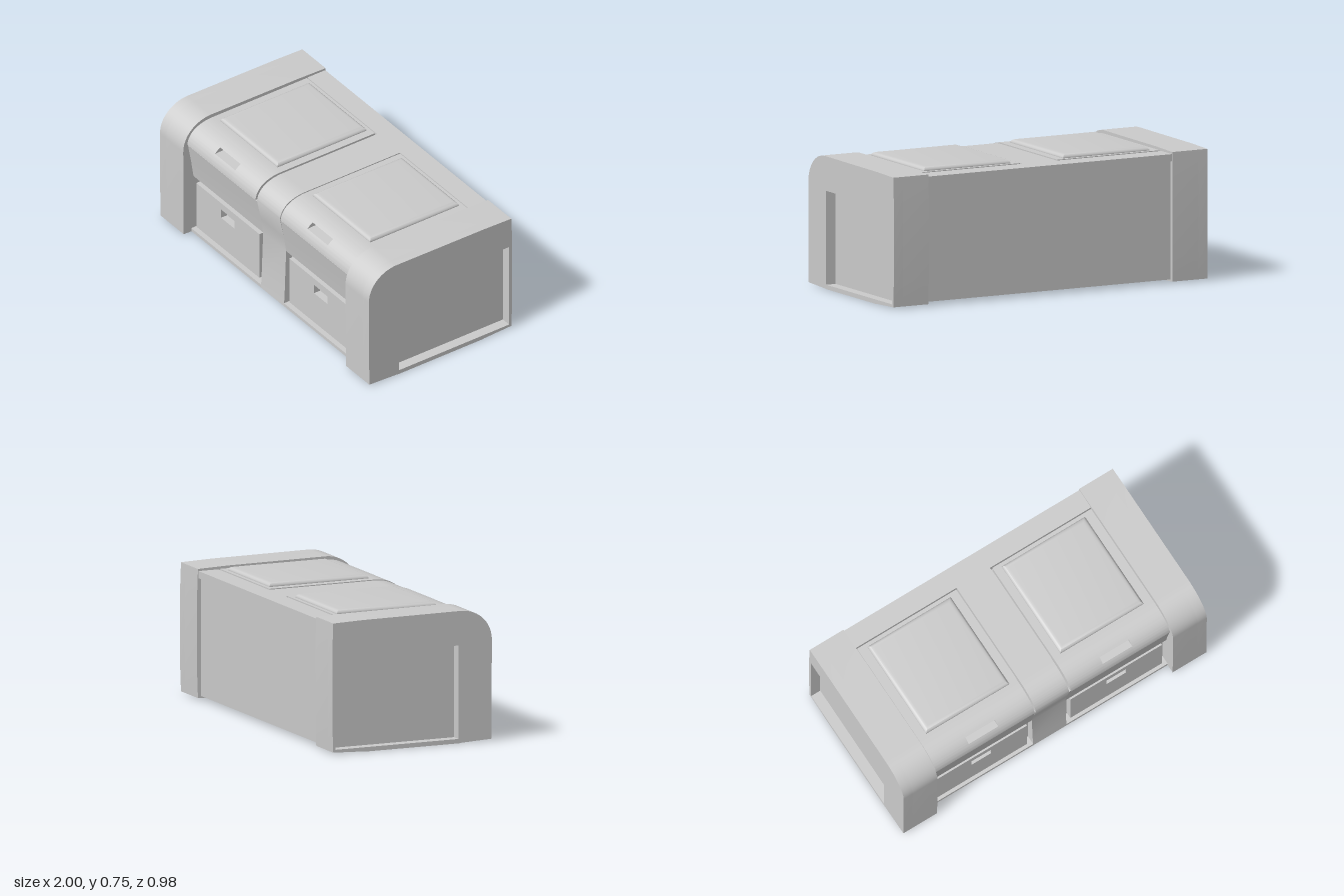
import * as THREE from 'three';
import { toCreasedNormals } from 'three/addons/utils/BufferGeometryUtils.js';

const material = new THREE.MeshStandardMaterial({ color: 0xcccccc });

// Points are [z, y]; the outline runs along x once extruded and turned.
const outline = pts => pts.map(([z, y]) => new THREE.Vector2(-z, y));

// Extrude a side profile from x0 to x1, with an optional hole
function profileMesh(name, pts, x0, x1, hole) {
  const shape = new THREE.Shape(outline(pts));
  if (hole) shape.holes.push(new THREE.Path(outline(hole)));
  const geo = new THREE.ExtrudeGeometry(shape, { depth: x1 - x0, bevelEnabled: false });
  geo.rotateY(Math.PI / 2).translate(x0, 0, 0);
  const mesh = new THREE.Mesh(toCreasedNormals(geo, 0.5), material);
  mesh.name = name;
  return mesh;
}

// Cubic curve sampled as [z, y] points
function curvePoints(a, b, c, d, n = 20) {
  const v = p => new THREE.Vector2(p[0], p[1]);
  return new THREE.CubicBezierCurve(v(a), v(b), v(c), v(d)).getPoints(n).map(p => [p.x, p.y]);
}

const rect = (a, b, c, d) => [[a, c], [b, c], [b, d], [a, d]];

// Mirror an x range to the given side
const range = (side, a, b) => (side > 0 ? [a, b] : [-b, -a]);

export function createModel() {
  const model = new THREE.Group();
  model.name = 'storageChest';

  // Shared profiles
  const capProfile = [
    [0.487, 0.01], [0.3, 0.002], [0.29, 0], [-0.29, 0], [-0.3, 0.002], [-0.485, 0.01],
    [-0.49, 0.15], [-0.49, 0.6], [-0.485, 0.742], [-0.3, 0.747],
    ...curvePoints([0.3, 0.75], [0.4, 0.75], [0.49, 0.68], [0.49, 0.57]),
  ];
  const capRecess = rect(-0.47, 0.285, 0.025, 0.555);
  const lidCurve = curvePoints([0.29, 0.733], [0.39, 0.733], [0.46, 0.69], [0.465, 0.615], 28);
  const back = [[0.4, 0.01], [0.4, 0.02], [-0.465, 0.02], [-0.465, 0.69], [-0.482, 0.69], [-0.482, 0.73]];
  const seatedProfile = [
    ...back, [-0.36, 0.73], [-0.36, 0.69], [0.25, 0.69], [0.4, 0.605], [0.458, 0.605],
    [0.435, 0.48], [0.42, 0.38], [0.38, 0.38], [0.38, 0.03], [0.435, 0.03], [0.435, 0.01],
  ];
  const columnProfile = [
    ...back, ...lidCurve.map(([z, y]) => [z - 0.003, y - 0.003]),
    [0.435, 0.48], [0.42, 0.38], [0.43, 0.1], [0.435, 0.01],
  ];
  const lidInside = [[0.4, 0.615], [0.25, 0.68], [-0.352, 0.68], [-0.352, 0.733]];
  const lidProfile = [...lidCurve, ...lidInside];
  const gripProfile = [
    ...lidCurve.filter(p => p[1] > 0.706), [0.378, 0.705], [0.378, 0.68],
    ...lidCurve.filter(p => p[1] < 0.68), ...lidInside,
  ];

  // Centre column between the two bays
  model.add(profileMesh('centreColumn', columnProfile, -0.11, 0.11));

  for (const side of [1, -1]) {
    const tag = side > 0 ? 'left' : 'right';

    // End cap: solid inner slab and an outer ring around the side recess
    const cap = new THREE.Group();
    cap.name = tag + 'EndCap';
    cap.add(profileMesh('capCore', capProfile, ...range(side, 0.777, 0.94)));
    cap.add(profileMesh('capRim', capProfile, ...range(side, 0.94, 1), capRecess));
    model.add(cap);

    // Body bay with a lid seat on top and a drawer opening in front
    model.add(profileMesh(tag + 'Bay', seatedProfile, ...range(side, 0.11, 0.78)));

    // Lid, with a finger grip cut into the middle of its front edge
    const lid = new THREE.Group();
    lid.name = tag + 'Lid';
    lid.add(profileMesh('lidInner', lidProfile, ...range(side, 0.12, 0.345)));
    lid.add(profileMesh('lidGrip', gripProfile, ...range(side, 0.345, 0.54)));
    lid.add(profileMesh('lidOuter', lidProfile, ...range(side, 0.54, 0.772)));
    model.add(lid);

    // Raised cushion panel with soft edges on the lid
    const padShape = new THREE.Shape(
      [[-0.245, -0.275], [0.245, -0.275], [0.245, 0.275], [-0.245, 0.275]].map(p => new THREE.Vector2(...p)));
    const padGeo = new THREE.ExtrudeGeometry(padShape, {
      depth: 0.005, bevelEnabled: true, bevelSize: 0.03, bevelThickness: 0.022, bevelSegments: 5,
    });
    padGeo.rotateX(-Math.PI / 2);
    const pad = new THREE.Mesh(toCreasedNormals(padGeo, 0.6), material);
    pad.name = tag + 'LidPanel';
    pad.position.set(side * 0.443, 0.728, -0.025);
    model.add(pad);

    // Drawer front with a slot handle
    const [x0, x1] = range(side, 0.143, 0.747);
    const [h0, h1] = range(side, 0.38, 0.51);
    const front = new THREE.Shape(rect(x0, x1, 0.052, 0.35).map(p => new THREE.Vector2(...p)));
    front.holes.push(new THREE.Path(rect(h0, h1, 0.25, 0.306).map(p => new THREE.Vector2(...p))));
    const drawer = new THREE.Mesh(
      new THREE.ExtrudeGeometry(front, { depth: 0.047, bevelEnabled: false }), material);
    drawer.name = tag + 'Drawer';
    drawer.position.z = 0.375;
    model.add(drawer);
  }
  return model;
}
